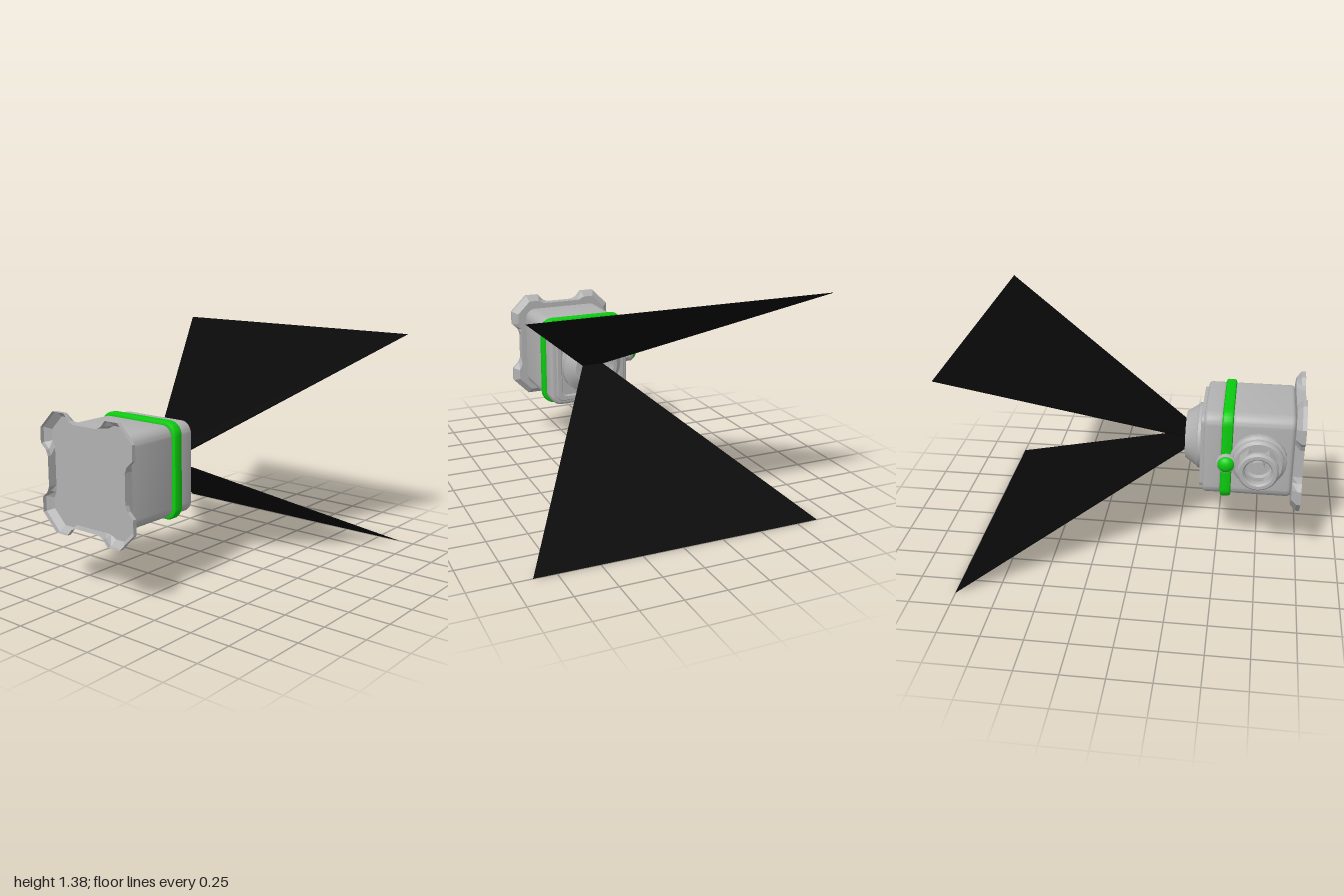
import * as THREE from 'three';
import { toCreasedNormals } from 'three/addons/utils/BufferGeometryUtils.js';

const CY = 0.695; // height of the main axis

export function createModel() {
  const group = new THREE.Group();
  const material = (name, color, side = THREE.FrontSide) => {
    const m = new THREE.MeshStandardMaterial({ color, side });
    m.name = name;
    return m;
  };
  const grey = material('grey metal', 0xb2b2b2, THREE.DoubleSide);
  const green = material('green trim', 0x0ccc10);
  const black = material('black beam', 0x080808, THREE.DoubleSide);

  const add = (name, geometry, mat, x = 0, y = CY, z = 0) => {
    const mesh = new THREE.Mesh(geometry, mat);
    mesh.name = name;
    mesh.position.set(x, y, z);
    group.add(mesh);
    return mesh;
  };

  // Rounded square outline
  const roundedSquare = (h, r, Type = THREE.Shape) => {
    const s = new Type();
    s.moveTo(h, -h + r);
    s.lineTo(h, h - r);
    s.absarc(h - r, h - r, r, 0, Math.PI / 2);
    s.absarc(-h + r, h - r, r, Math.PI / 2, Math.PI);
    s.absarc(-h + r, -h + r, r, Math.PI, Math.PI * 1.5);
    s.absarc(h - r, -h + r, r, Math.PI * 1.5, Math.PI * 2);
    return s;
  };
  // Slab along z with softened rims
  const slab = (h, r, z0, z1, b, segments = 3, hole = 0) => {
    const shape = roundedSquare(h - b, r - b);
    if (hole) shape.holes.push(roundedSquare(hole, 0.04, THREE.Path));
    const g = new THREE.ExtrudeGeometry(shape, {
      depth: z1 - z0 - 2 * b, bevelEnabled: true, bevelSize: b, bevelThickness: b,
      bevelSegments: segments, curveSegments: 6,
    });
    g.translate(0, 0, z0 + b);
    return toCreasedNormals(g, 0.6);
  };
  const lathe = (points, segments) => toCreasedNormals(
    new THREE.LatheGeometry(points.map(p => new THREE.Vector2(...p)), segments), 0.6);

  // Foot plate: a notched shell, open towards +z
  const outer = [[0.3, -0.09], [0.3, 0.09], [0.315, 0.125], [0.355, 0.16], [0.355, 0.25],
    [0.25, 0.355], [0.16, 0.355], [0.125, 0.315]];
  const inset = [[0.3, -0.09], [0.3, 0.09], [0.3, 0.13], [0.32, 0.17], [0.32, 0.235],
    [0.235, 0.32], [0.17, 0.32], [0.13, 0.3]];
  const fourfold = pts => {
    const out = [];
    for (let k = 0; k < 4; k++) {
      for (const p of pts) out.push(new THREE.Vector2(...p).rotateAround(new THREE.Vector2(), k * Math.PI / 2));
    }
    return out;
  };
  const rim = fourfold(outer), top = fourfold(inset);
  const loops = [[rim, 1], [rim, 0.975], [top, 0.943]];
  const n = rim.length, positions = [], index = [];
  for (const [pts, z] of loops) for (const p of pts) positions.push(p.x, p.y, z);
  for (let l = 0; l < 2; l++) {
    for (let i = 0; i < n; i++) {
      const a = l * n + i, b = l * n + (i + 1) % n;
      index.push(a, a + n, b, b, a + n, b + n);
    }
  }
  let shell = new THREE.BufferGeometry();
  shell.setAttribute('position', new THREE.Float32BufferAttribute(positions, 3));
  shell.setIndex(index);
  shell = shell.toNonIndexed();
  shell.computeVertexNormals();
  add('footPlateRim', shell, grey);
  add('footPlateFace', new THREE.ShapeGeometry(new THREE.Shape(top)), grey, 0, CY, 0.943);

  // Housing, trim band and head
  add('housing', slab(0.272, 0.07, 0.57, 0.942, 0.025), grey);
  add('trimBand', slab(0.29, 0.08, 0.512, 0.578, 0.016, 2), green);
  add('headBlock', slab(0.272, 0.07, 0.405, 0.52, 0.02), grey);
  add('headFrame', slab(0.238, 0.04, 0.384, 0.42, 0.005, 1, 0.208), grey);

  // Hollow cone nozzle
  const nozzle = lathe([[0, 0.38], [0.1, 0.38], [0.1, 0.33], [0.115, 0.325], [0.12, 0.284], [0.145, 0.284],
    [0.195, 0.358], [0.205, 0.362], [0.205, 0.41]], 32);
  nozzle.rotateX(Math.PI / 2);
  add('nozzle', nozzle, grey);

  // Two thin beam sheets fanning out to -z
  const addBeam = (name, s) => {
    const zs = [0.364, -1], half = [0.065, 0.885], rise = [0, 0.688], thick = [0.006, 0.001];
    const v = [];
    for (let i = 0; i < 2; i++) {
      for (const [sx, sy] of [[-1, -1], [1, -1], [1, 1], [-1, 1]]) {
        v.push(sx * half[i], s * rise[i] + sy * thick[i], zs[i]);
      }
    }
    const faces = [0, 1, 2, 0, 2, 3, 4, 6, 5, 4, 7, 6];
    for (let i = 0; i < 4; i++) {
      const j = (i + 1) % 4;
      faces.push(i, i + 4, j, j, i + 4, j + 4);
    }
    let g = new THREE.BufferGeometry();
    g.setAttribute('position', new THREE.Float32BufferAttribute(v, 3));
    g.setIndex(faces);
    g = g.toNonIndexed();
    g.computeVertexNormals();
    add(name, g, black);
  };
  addBeam('upperBeam', 1);
  addBeam('lowerBeam', -1);

  // Side coupling on the right: flange, four posts and an open ring, built outwards along -x
  const coupling = new THREE.Group();
  coupling.name = 'sideCoupling';
  coupling.position.set(0, CY, 0.735);
  coupling.rotation.z = Math.PI / 2;
  group.add(coupling);
  const couple = (name, geometry, mat = grey) => {
    const mesh = new THREE.Mesh(geometry, mat);
    mesh.name = name;
    coupling.add(mesh);
    return mesh;
  };
  couple('flange', lathe([[0.17, 0.26], [0.17, 0.3], [0.155, 0.312], [0.155, 0.335], [0.14, 0.35],
    [0.085, 0.35], [0.075, 0.33], [0, 0.33]], 24));
  couple('couplingRing', lathe([[0.08, 0.4], [0.115, 0.4], [0.122, 0.408], [0.122, 0.428], [0.11, 0.442],
    [0.09, 0.442], [0.08, 0.43], [0.08, 0.4]], 24));
  couple('couplingHub', new THREE.CylinderGeometry(0.035, 0.04, 0.05, 16)).position.y = 0.345;
  for (let i = 0; i < 4; i++) {
    const a = Math.PI / 4 + i * Math.PI / 2;
    const post = couple('couplingPost', new THREE.BoxGeometry(0.035, 0.085, 0.07));
    post.position.set(Math.cos(a) * 0.103, 0.378, Math.sin(a) * 0.103);
    post.rotation.y = -a;
  }

  // Indicator lamp beside the coupling
  const lampZ = 0.545 - 0.735;
  const cup = couple('lampCup', lathe([[0, 0.27], [0.03, 0.27], [0.03, 0.315], [0.045, 0.318], [0.06, 0.335],
    [0.06, 0.352], [0.05, 0.358], [0, 0.358]], 20));
  cup.position.z = lampZ;
  const dome = couple('lampDome', new THREE.SphereGeometry(0.05, 20, 8, 0, Math.PI * 2, 0, Math.PI / 2), green);
  dome.scale.y = 0.7;
  dome.position.set(0, 0.357, lampZ);

  return group;
}
